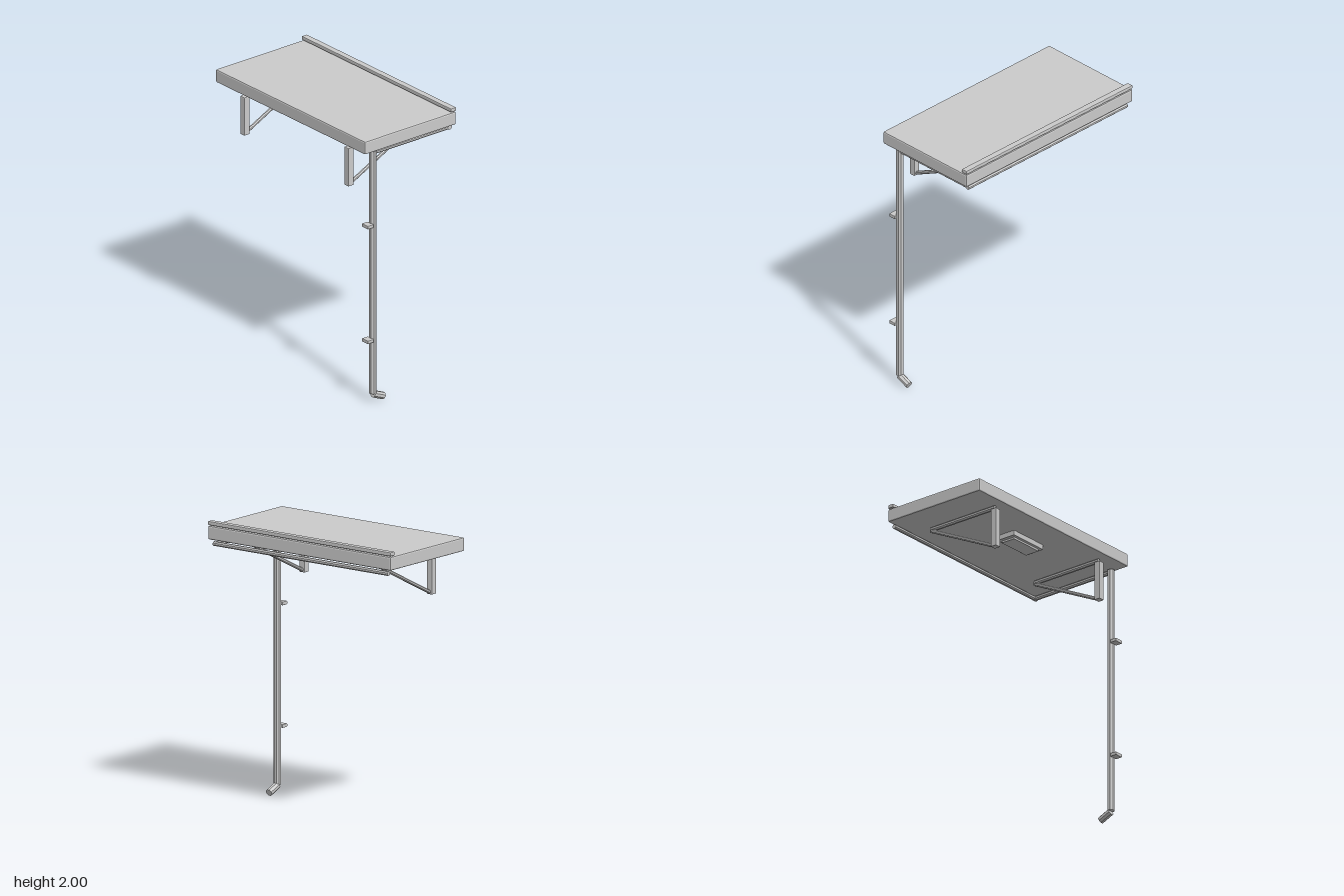
import * as THREE from 'three';
import { RoundedBoxGeometry } from 'three/addons/geometries/RoundedBoxGeometry.js';

const material = new THREE.MeshStandardMaterial({ color: 0xcccccc, flatShading: true });

export function createModel() {
  const model = new THREE.Group();
  model.name = 'canopy';

  // Chamfered box given by its limits on each axis
  function box(name, [x0, x1], [y0, y1], [z0, z1], chamfer) {
    const geometry = new RoundedBoxGeometry(x1 - x0, y1 - y0, z1 - z0, 1, chamfer);
    const mesh = new THREE.Mesh(geometry, material);
    mesh.name = name;
    mesh.position.set((x0 + x1) / 2, (y0 + y1) / 2, (z0 + z1) / 2);
    model.add(mesh);
  }

  // Eight-sided straight bar between two points
  function bar(name, from, to, radius) {
    const a = new THREE.Vector3(...from);
    const b = new THREE.Vector3(...to);
    const geometry = new THREE.CylinderGeometry(radius, radius, a.distanceTo(b), 8);
    geometry.rotateY(Math.PI / 8);
    const mesh = new THREE.Mesh(geometry, material);
    mesh.name = name;
    mesh.position.copy(a).lerp(b, 0.5);
    mesh.quaternion.setFromUnitVectors(new THREE.Vector3(0, 1, 0), b.sub(a).normalize());
    model.add(mesh);
  }

  // Roof slab and the raised strip above its back edge
  box('roofSlab', [-0.79, 0.79], [1.873, 1.968], [-0.4, 0.4], 0.01);
  box('backStrip', [-0.79, 0.79], [1.973, 2], [-0.4, -0.354], 0.006);

  // Gutter along the back and the right-hand edge
  bar('backGutter', [-0.755, 1.846, -0.375], [0.755, 1.846, -0.375], 0.016);
  bar('sideGutter', [0.74, 1.846, -0.375], [0.74, 1.846, 0.31], 0.016);

  // Downpipe with angled outlet and wall clips
  bar('downpipe', [0.74, 0.07, 0.29], [0.74, 1.86, 0.29], 0.026);
  bar('outlet', [0.74, 0.063, 0.288], [0.74, 0.025, 0.2], 0.026);
  for (const y of [0.47, 1.317]) {
    box('pipeClip', [0.708, 0.772], [y - 0.012, y + 0.012], [0.308, 0.36], 0.004);
  }

  // Mirrored pair of support brackets
  for (const side of [-1, 1]) {
    const x = side * 0.55;
    box('bracketPost', [x - 0.023, x + 0.023], [1.555, 1.836], [0.318, 0.365], 0.005);
    bar('bracketArm', [x, 1.848, 0.34], [x, 1.848, -0.22], 0.016);
    bar('bracketBrace', [x, 1.572, 0.32], [x, 1.84, -0.22], 0.013);
  }

  // Lamp under the slab
  box('lampHousing', [-0.155, 0.155], [1.835, 1.873], [0.03, 0.18], 0.005);
  box('lampLens', [-0.13, 0.13], [1.821, 1.84], [0.05, 0.16], 0.004);

  return model;
}
